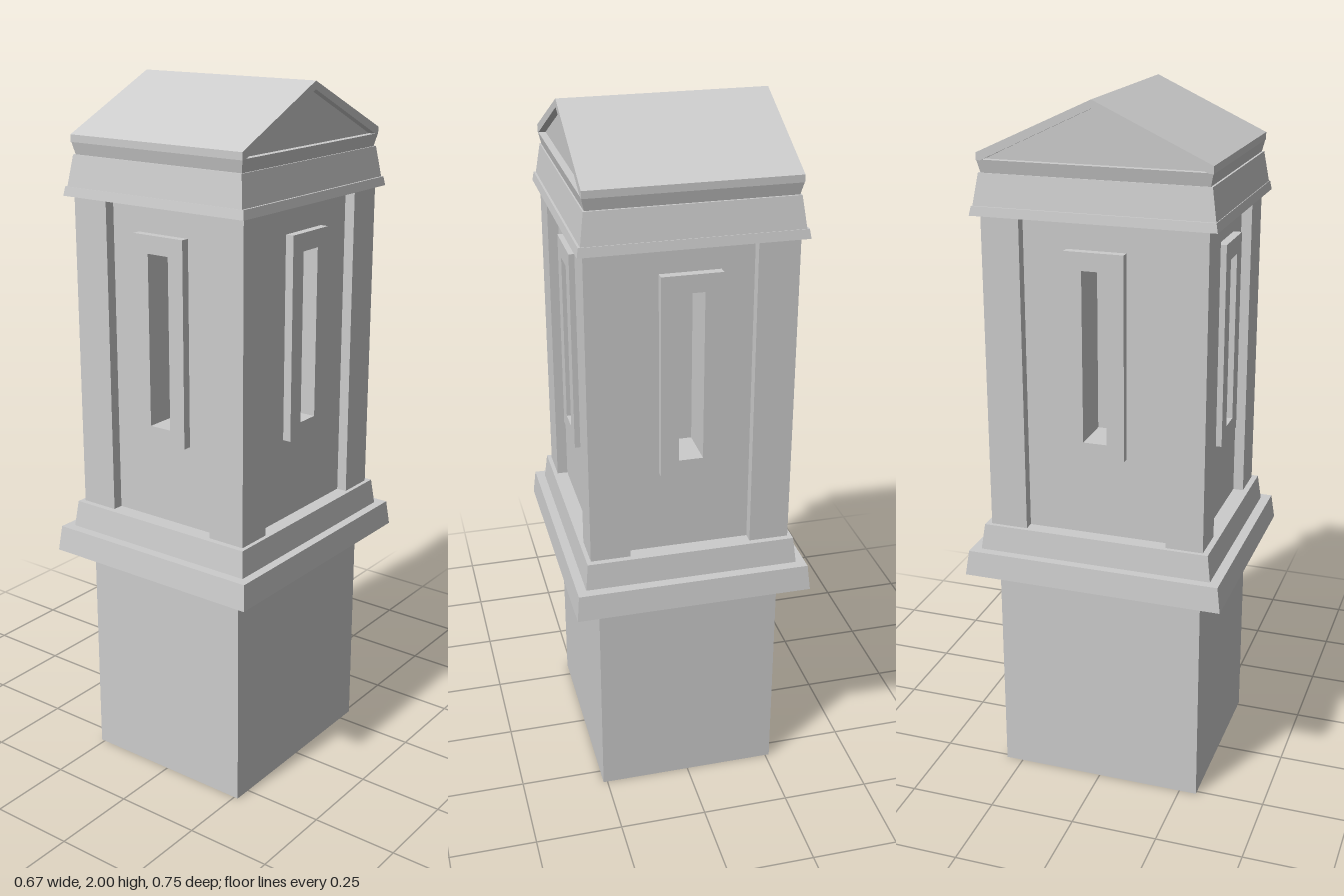
import * as THREE from 'three';

const material = new THREE.MeshStandardMaterial({ color: 0xcccccc, flatShading: true });

// Closed rectangular moulding from levels [y, halfWidth, halfDepth], bottom to top
function mouldingGeometry(levels) {
  const pos = [];
  const rings = levels.map(([y, hx, hz]) => [[hx, y, hz], [hx, y, -hz], [-hx, y, -hz], [-hx, y, hz]]);
  const quad = (a, b, c, d) => pos.push(...a, ...b, ...c, ...a, ...c, ...d);
  for (let i = 0; i < rings.length - 1; i++) {
    for (let k = 0; k < 4; k++) {
      const n = (k + 1) % 4;
      quad(rings[i][k], rings[i][n], rings[i + 1][n], rings[i + 1][k]);
    }
  }
  const [b, t] = [rings[0], rings[rings.length - 1]];
  quad(b[3], b[2], b[1], b[0]);
  quad(t[0], t[1], t[2], t[3]);
  const geo = new THREE.BufferGeometry();
  geo.setAttribute('position', new THREE.Float32BufferAttribute(pos, 3));
  geo.computeVertexNormals();
  return geo;
}

const vectors = (pts) => pts.map(([x, y]) => new THREE.Vector2(x, y));
const rectPoints = (hw, y0, y1) => vectors([[-hw, y0], [hw, y0], [hw, y1], [-hw, y1]]);

// Upright plate pierced by the narrow window slot
function slottedPlate(hw, y0, y1, depth) {
  const shape = new THREE.Shape(rectPoints(hw, y0, y1));
  shape.holes.push(new THREE.Path(rectPoints(0.034, 1.08, 1.56)));
  return new THREE.ExtrudeGeometry(shape, { depth, bevelEnabled: false });
}

// Prism running along x, centred; points are [z, y]
function prismAlongX(points, length) {
  const geo = new THREE.ExtrudeGeometry(new THREE.Shape(vectors(points)), { depth: length, bevelEnabled: false });
  return geo.translate(0, 0, -length / 2).rotateY(Math.PI / 2);
}

export function createModel() {
  const model = new THREE.Group();
  const add = (name, geo, parent = model) => {
    const mesh = new THREE.Mesh(geo, material);
    mesh.name = name;
    parent.add(mesh);
    return mesh;
  };

  // Plain lower block and stepped base moulding
  add('lowerBlock', new THREE.BoxGeometry(0.524, 0.63, 0.602).translate(0, 0.315, 0));
  add('baseMoulding', mouldingGeometry([
    [0.622, 0.262, 0.301], [0.652, 0.31, 0.35], [0.652, 0.337, 0.377], [0.725, 0.33, 0.367],
    [0.725, 0.304, 0.339], [0.8, 0.296, 0.329],
  ]));

  // Shaft: inner core, corner pilasters, recessed walls with framed slots
  const [y0, y1, hx, hz] = [0.79, 1.7, 0.284, 0.312];
  const recess = 0.03, wall = 0.1, frame = 0.024;
  add('innerCore', new THREE.BoxGeometry(2 * (hx - recess - wall), y1 - y0, 2 * (hz - recess - wall))
    .translate(0, (y0 + y1) / 2, 0));
  for (const sx of [-1, 1]) {
    for (const sz of [-1, 1]) {
      const pilaster = add('cornerPilaster', new THREE.BoxGeometry(0.112, y1 - y0, 0.107));
      pilaster.position.set(sx * (hx - 0.056), (y0 + y1) / 2, sz * (hz - 0.0535));
    }
  }
  for (let i = 0; i < 4; i++) {
    const side = new THREE.Group();
    side.name = ['frontPanel', 'leftPanel', 'backPanel', 'rightPanel'][i];
    const face = (i % 2 ? hx : hz) - recess;
    add('recessedWall', slottedPlate(i % 2 ? 0.22 : 0.19, y0, y1, wall), side).position.z = face - wall;
    add('slotFrame', slottedPlate(0.083, 1.036, 1.61, frame), side).position.z = face;
    side.rotation.y = i * Math.PI / 2;
    model.add(side);
  }

  // Stepped cornice
  add('cornice', mouldingGeometry([
    [1.69, 0.302, 0.337], [1.715, 0.298, 0.332], [1.715, 0.292, 0.33], [1.8, 0.28, 0.316],
    [1.8, 0.276, 0.31], [1.835, 0.284, 0.318],
  ]));

  // Gabled roof with recessed end triangles
  add('roof', prismAlongX([
    [-0.319, 1.833], [-0.307, 1.833], [0, 1.978], [0.307, 1.833],
    [0.319, 1.833], [0.319, 1.853], [0, 2], [-0.319, 1.853],
  ], 0.568));
  add('gableInfill', prismAlongX([[-0.312, 1.83], [0.312, 1.83], [0, 1.98]], 0.528));

  return model;
}
